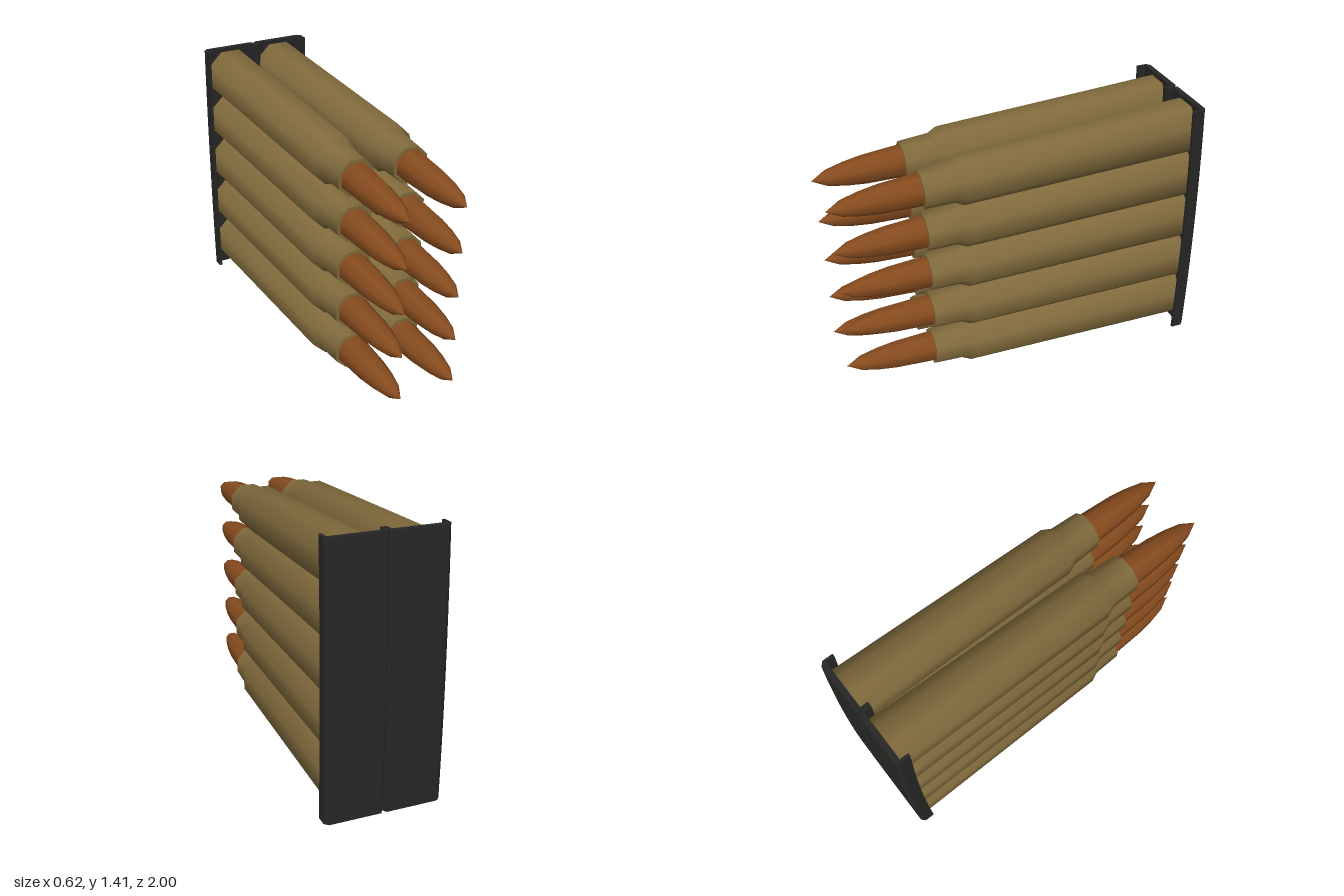
import * as THREE from 'three';
import { toCreasedNormals } from 'three/addons/utils/BufferGeometryUtils.js';

const BEND_RADIUS = 18.9; // the rounds fan out around a far centre
const BEND_Y = 0.407;
const BACK_Z = -0.997;
const HEIGHT = 1.41;
const CENTRE_Z = BACK_Z + BEND_RADIUS;

// Eight-sided turned part along z; profile lists [distance to flat, z]
function turned(profile) {
  const k = 1 / Math.cos(Math.PI / 8);
  const points = profile.map(([r, z]) => new THREE.Vector2(r * k, z));
  const geo = new THREE.LatheGeometry(points, 8);
  geo.rotateY(Math.PI / 8);
  geo.rotateX(Math.PI / 2);
  return toCreasedNormals(geo, THREE.MathUtils.degToRad(50));
}

// Clip cross-section: back wall, rolled side lips, centre rib and back groove
function clipGeometry() {
  const half = [
    [0, 0.022], [0.014, 0.0], [0.288, 0.0], [0.309, 0.02],
    [0.309, 0.077], [0.293, 0.077], [0.293, 0.03], [0.017, 0.03], [0.017, 0.072],
  ];
  const mirrored = half.slice(1).reverse().map(([x, d]) => [-x, d]);
  const outline = [...half, ...mirrored].map(([x, d]) => new THREE.Vector2(x, -(BACK_Z + d)));
  const geo = new THREE.ExtrudeGeometry(new THREE.Shape(outline), {
    depth: HEIGHT, steps: 10, bevelEnabled: false,
  });
  geo.rotateX(-Math.PI / 2);
  // Bend the clip gently along its height
  const pos = geo.attributes.position;
  for (let i = 0; i < pos.count; i++) {
    const dy = pos.getY(i) - BEND_Y;
    pos.setZ(i, pos.getZ(i) + dy * dy / (2 * BEND_RADIUS));
  }
  return toCreasedNormals(geo, 0.3);
}

export function createModel() {
  const model = new THREE.Group();
  model.name = 'loadedClip';
  const brass = new THREE.MeshStandardMaterial({ color: 0x806a3c });
  const copper = new THREE.MeshStandardMaterial({ color: 0x864b1e });
  const steel = new THREE.MeshStandardMaterial({ color: 0x262625 });

  const clip = new THREE.Mesh(clipGeometry(), steel);
  clip.name = 'clip';
  model.add(clip);

  // Tapered case with shoulder, neck and open mouth rim
  const caseGeo = turned([
    [0, -0.965], [0.135, -0.965], [0.122, 0.3], [0.1, 0.35],
    [0.094, 0.51], [0.078, 0.51], [0.076, 0.49],
  ]);
  // Pointed bullet seated in the neck
  const bulletGeo = turned([
    [0.078, 0.48], [0.078, 0.52], [0.069, 0.71], [0.057, 0.81], [0.038, 0.905], [0, 0.982],
  ]);

  // Two columns of five rounds
  for (const [side, x] of [['right', -0.156], ['left', 0.15]]) {
    for (let row = 0; row < 5; row++) {
      const round = new THREE.Group();
      round.name = `${side}Round${row + 1}`;
      const angle = (0.165 + row * 0.2725 - BEND_Y) / BEND_RADIUS;
      round.rotation.x = angle;
      // Rotate about the far bend centre
      round.position.set(x, BEND_Y + CENTRE_Z * Math.sin(angle), CENTRE_Z * (1 - Math.cos(angle)));
      const shell = new THREE.Mesh(caseGeo, brass);
      shell.name = 'case';
      const bullet = new THREE.Mesh(bulletGeo, copper);
      bullet.name = 'bullet';
      round.add(shell, bullet);
      model.add(round);
    }
  }
  return model;
}
